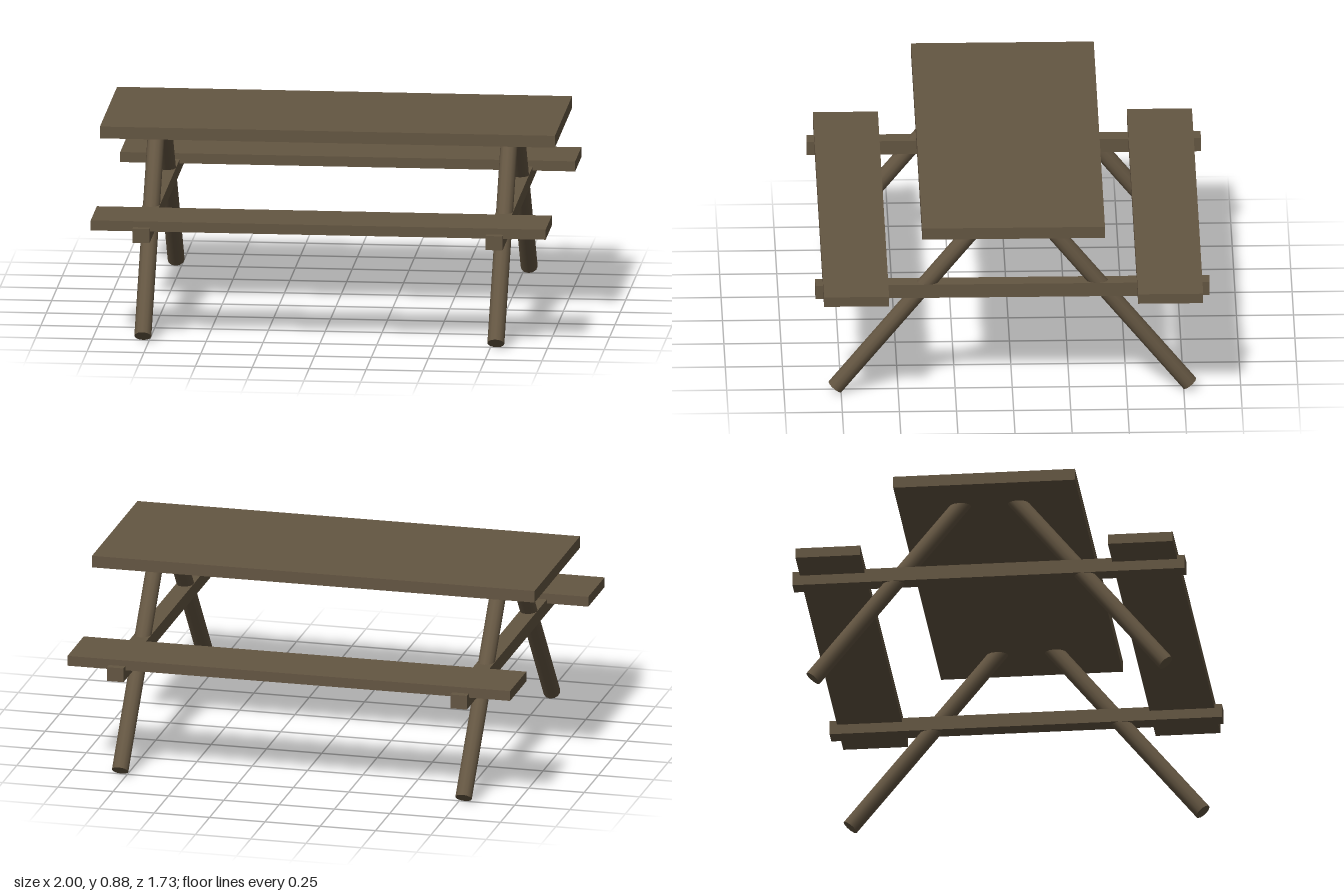
import * as THREE from 'three';

export function createModel() {
  const model = new THREE.Group();
  model.name = 'picnicTable';
  const wood = new THREE.MeshStandardMaterial({ color: 0x645642 });
  wood.name = 'brown wood';

  const add = (name, geometry, x, y, z) => {
    const mesh = new THREE.Mesh(geometry, wood);
    mesh.name = name;
    mesh.position.set(x, y, z);
    model.add(mesh);
    return mesh;
  };

  // Table top
  add('tableTop', new THREE.BoxGeometry(2, 0.053, 0.8), 0, 0.849, 0);

  // Benches at front and back
  for (const s of [1, -1]) {
    add(s > 0 ? 'frontBench' : 'backBench',
      new THREE.BoxGeometry(2, 0.045, 0.285), 0, 0.528, s * 0.6875);
  }

  // Splayed round legs, from the ground to inside the table top
  const up = new THREE.Vector3(0, 1, 0);
  for (const sx of [1, -1]) {
    const side = sx > 0 ? 'left' : 'right';

    // Cross beam carrying both benches
    add(side + 'CrossBeam', new THREE.BoxGeometry(0.075, 0.063, 1.726), sx * 0.776, 0.4925, 0);

    for (const sz of [1, -1]) {
      const foot = new THREE.Vector3(sx * 0.776, 0.024, sz * 0.776);
      const head = new THREE.Vector3(sx * 0.776, 0.845, sz * 0.11);
      const axis = head.clone().sub(foot);
      const mid = foot.clone().add(head).multiplyScalar(0.5);
      const leg = add(side + (sz > 0 ? 'Front' : 'Back') + 'Leg',
        new THREE.CylinderGeometry(0.0375, 0.0375, axis.length(), 12), mid.x, mid.y, mid.z);
      leg.quaternion.setFromUnitVectors(up, axis.normalize());
    }
  }
  return model;
}
